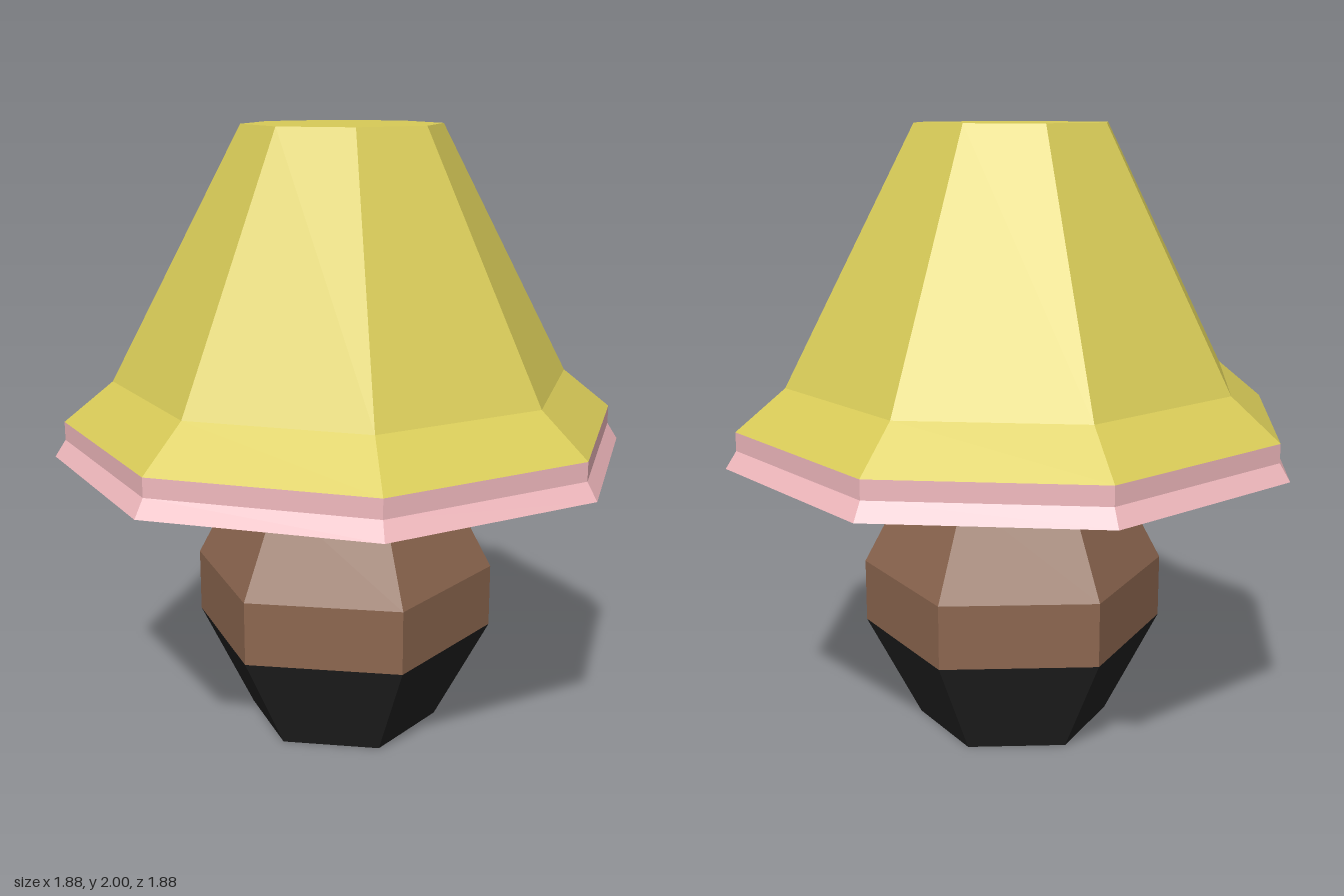
import * as THREE from 'three';

// Faceted solid of revolution; profile runs [radius, height], a corner faces +z
function faceted(name, color, sides, profile) {
  const points = profile.map(([r, y]) => new THREE.Vector2(r, y));
  const geometry = new THREE.LatheGeometry(points, sides);
  const material = new THREE.MeshStandardMaterial({ color, flatShading: true });
  const mesh = new THREE.Mesh(geometry, material);
  mesh.name = name;
  return mesh;
}

export function createModel() {
  const lamp = new THREE.Group();
  lamp.name = 'tableLamp';

  // Hexagonal base: dark foot, wooden body and neck reaching into the shade
  lamp.add(faceted('foot', 0x242424, 6, [[0, 0], [0.32, 0], [0.5, 0.345]]));
  lamp.add(faceted('body', 0x8c664f, 6, [
    [0.5, 0.345], [0.5, 0.555], [0.34, 0.86], [0.26, 0.965], [0.26, 1.12],
  ]));

  // Octagonal shade: flat underside, pink trim and flared yellow cover
  lamp.add(faceted('shadeUnderside', 0xd8cb58, 8, [[0, 1.12], [0.54, 1.12]]));
  lamp.add(faceted('shadeTrim', 0xf2babf, 8, [
    [0.54, 1.12], [0.76, 0.95], [0.94, 0.95], [0.905, 1.005], [0.905, 1.065],
  ]));
  lamp.add(faceted('shade', 0xd8cb58, 8, [
    [0.905, 1.065], [0.745, 1.195], [0.32, 2], [0, 2],
  ]));

  return lamp;
}
